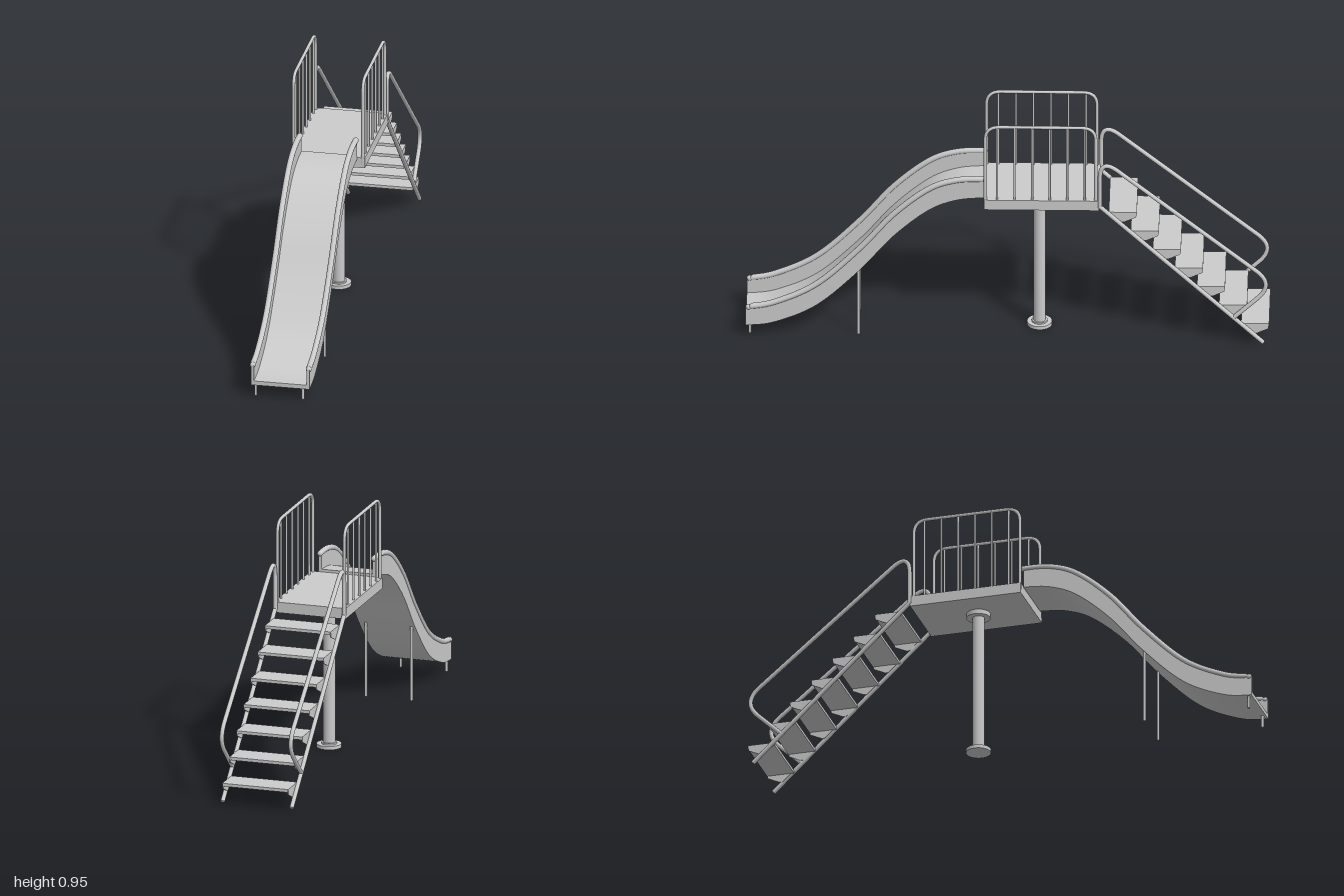
import * as THREE from 'three';
import { toCreasedNormals } from 'three/addons/utils/BufferGeometryUtils.js';

const material = new THREE.MeshStandardMaterial({ color: 0xcccccc, side: THREE.DoubleSide });
const V = (x, y, z) => new THREE.Vector3(x, y, z);

function add(parent, name, geometry, x = 0, y = 0, z = 0) {
  const mesh = new THREE.Mesh(geometry, material);
  mesh.name = name;
  mesh.position.set(x, y, z);
  parent.add(mesh);
  return mesh;
}

// Straight round bar between two points
function bar(parent, name, a, b, radius, sides = 12) {
  const mesh = add(parent, name, new THREE.CylinderGeometry(radius, radius, a.distanceTo(b), sides));
  mesh.position.copy(a).add(b).multiplyScalar(0.5);
  mesh.quaternion.setFromUnitVectors(V(0, 1, 0), b.clone().sub(a).normalize());
}

// Polyline of points with rounded corners
function roundedPath(points, bend) {
  const path = new THREE.CurvePath();
  let from = points[0];
  for (let i = 1; i < points.length - 1; i++) {
    const p = points[i];
    const toward = (q) => p.clone().add(q.clone().sub(p).setLength(Math.min(bend, q.distanceTo(p) * 0.48)));
    const start = toward(points[i - 1]), end = toward(points[i + 1]);
    path.add(new THREE.LineCurve3(from, start));
    path.add(new THREE.QuadraticBezierCurve3(start, p, end));
    from = end;
  }
  path.add(new THREE.LineCurve3(from, points[points.length - 1]));
  return path;
}

// Side profile of [z, y] points given a thickness along x
function sidePlate(points, width) {
  const shape = new THREE.Shape(points.map(([z, y]) => new THREE.Vector2(z, y)));
  const geometry = new THREE.ExtrudeGeometry(shape, { depth: width, bevelEnabled: false });
  geometry.translate(0, 0, -width / 2).rotateY(-Math.PI / 2);
  return toCreasedNormals(geometry, 0.6);
}

function buildSlide() {
  const slide = new THREE.Group();
  slide.name = 'slide';
  const keys = [[1, 0.047], [0.89, 0.063], [0.73, 0.139], [0.57, 0.29], [0.437, 0.446],
    [0.303, 0.562], [0.196, 0.608], [0.092, 0.62]];
  const curve = new THREE.SplineCurve(keys.map(([z, y]) => new THREE.Vector2(z, y)));
  const samples = curve.getPoints(56);
  const rise = (i) => 0.086 + 0.016 * Math.sin((i / 56) * Math.PI);
  const under = samples.map((p) => [p.x, p.y]);
  const band = (height) => [...under, ...samples.map((p, i) => [p.x, p.y + height(i)]).reverse()];

  add(slide, 'slideBed', sidePlate(band(() => 0.017), 0.212));
  const railPoints = samples.map((p, i) => [p.x, p.y + rise(i) - 0.007]);
  for (const s of [-1, 1]) {
    add(slide, 'slideSide', sidePlate(band((i) => rise(i) - 0.006), 0.012), s * 0.108);
    const points = railPoints.map(([z, y]) => V(s * 0.109, y, Math.min(z, 0.99)));
    const rail = new THREE.CatmullRomCurve3(points);
    add(slide, 'slideRail', new THREE.TubeGeometry(rail, 64, 0.011, 12));
    for (const end of [points[0], points[points.length - 1]]) {
      add(slide, 'slideRailEnd', new THREE.SphereGeometry(0.011, 12, 8), end.x, end.y, end.z);
    }
  }
  // Front feet and mid supports
  for (const x of [-0.098, 0.086]) {
    bar(slide, 'slideFoot', V(x, 0, 0.985), V(x, 0.058, 0.985), 0.0055);
    bar(slide, 'slideSupport', V(x, 0, 0.57), V(x, 0.3, 0.57), 0.0055);
  }
  return slide;
}

function buildPlatform() {
  const platform = new THREE.Group();
  platform.name = 'platform';
  add(platform, 'deck', new THREE.BoxGeometry(0.288, 0.042, 0.44), 0, 0.606, -0.13);

  // Guard rails with upright bars
  for (const s of [-1, 1]) {
    const x = s * 0.135;
    const frame = roundedPath([V(x, 0.6, 0.085), V(x, 0.945, 0.085), V(x, 0.945, -0.337), V(x, 0.6, -0.337)], 0.055);
    add(platform, 'guardRail', new THREE.TubeGeometry(frame, 120, 0.0065, 10));
    for (let i = 0; i < 6; i++) {
      const z = 0.04 - i * 0.067;
      bar(platform, 'guardBar', V(x, 0.62, z), V(x, 0.945, z), 0.0045, 8);
    }
  }

  // Centre post with flanges
  bar(platform, 'post', V(0, 0.005, -0.12), V(0, 0.59, -0.12), 0.0235, 24);
  add(platform, 'postBase', new THREE.CylinderGeometry(0.048, 0.048, 0.014, 32), 0, 0.007, -0.12);
  add(platform, 'postBaseCollar', new THREE.CylinderGeometry(0.03, 0.03, 0.006, 32), 0, 0.017, -0.12);
  add(platform, 'postTop', new THREE.CylinderGeometry(0.046, 0.046, 0.018, 32), 0, 0.576, -0.12);
  return platform;
}

function buildStairs() {
  const stairs = new THREE.Group();
  stairs.name = 'stairs';
  for (const s of [-1, 1]) {
    const x = s * 0.139;
    bar(stairs, 'stringer', V(x, 0.605, -0.348), V(x, 0.008, -0.977), 0.0085);
    const path = roundedPath([V(x, 0.6, -0.353), V(x, 0.815, -0.353), V(x, 0.265, -1.02), V(x, 0.115, -0.862)], 0.09);
    add(stairs, 'handrail', new THREE.TubeGeometry(path, 120, 0.0085, 10));
  }

  // Treads with tapered end brackets
  for (let i = 0; i < 7; i++) {
    const y = 0.573 - i * 0.081;
    const z = -0.387 - i * 0.0842;
    add(stairs, 'tread', new THREE.BoxGeometry(0.262, 0.012, 0.107), 0, y - 0.006, z - 0.0535);
    const wedge = [[z, y], [z - 0.046, y - 0.043], [z - 0.058, y - 0.043], [z - 0.104, y - 0.022], [z - 0.107, y]];
    for (const s of [-1, 1]) add(stairs, 'treadBracket', sidePlate(wedge, 0.004), s * 0.131);
  }
  return stairs;
}

export function createModel() {
  const model = new THREE.Group();
  model.name = 'playgroundSlide';
  model.add(buildSlide(), buildPlatform(), buildStairs());
  return model;
}
